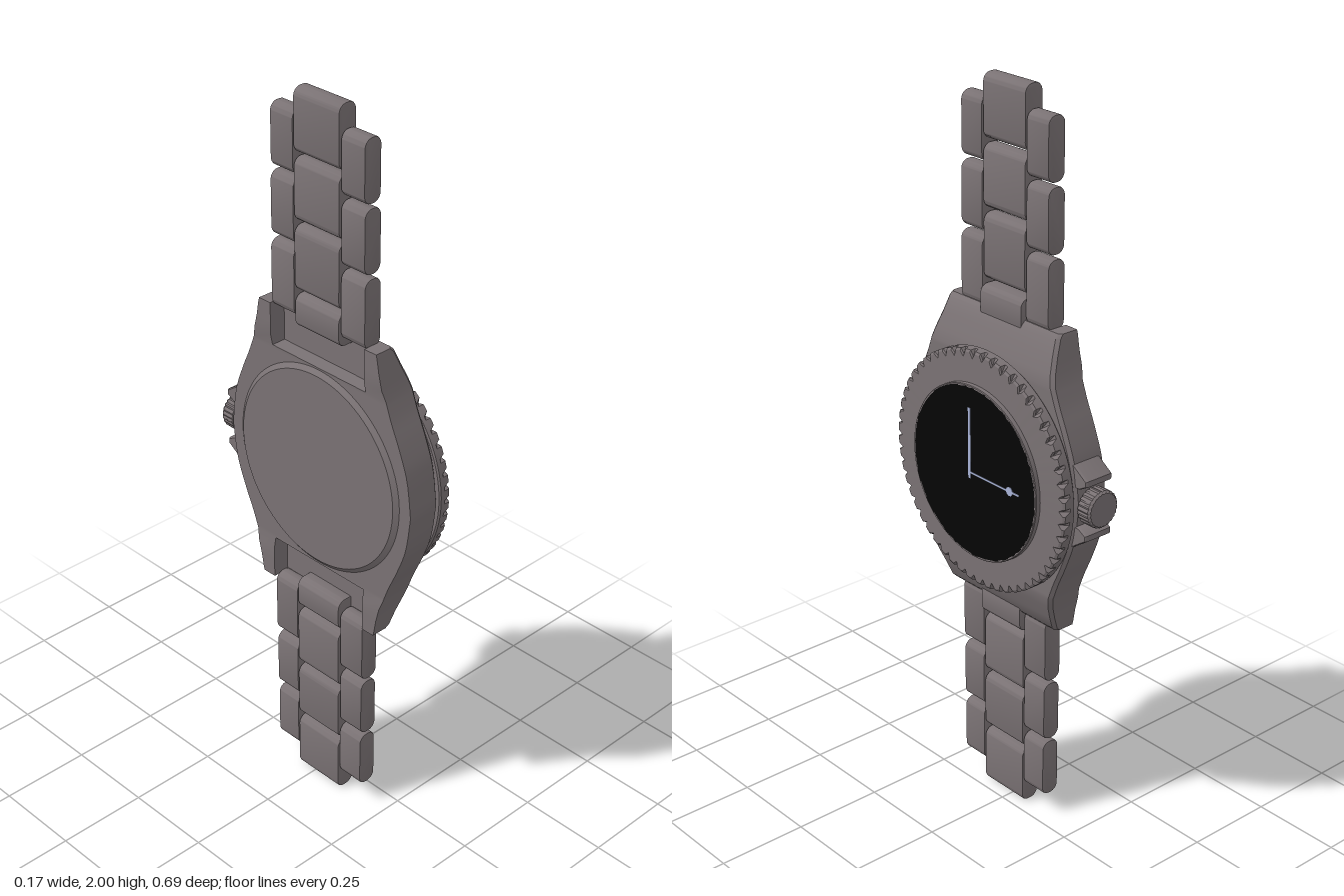
import * as THREE from 'three';
import { toCreasedNormals } from 'three/addons/utils/BufferGeometryUtils.js';

const CY = 1, CZ = 0.024; // centre of the dial
const steel = new THREE.MeshStandardMaterial({ color: 0x7a7274 });
const black = new THREE.MeshStandardMaterial({ color: 0x050505 });
const pale = new THREE.MeshStandardMaterial({ color: 0xa9b4d8 });

function part(name, geometry, material = steel, crease = 0.6) {
  const mesh = new THREE.Mesh(toCreasedNormals(geometry, crease), material);
  mesh.name = name;
  return mesh;
}

// Turned part about the x axis through the dial centre; profile is [radius, x]
function turned(profile, segments, warp) {
  const g = new THREE.LatheGeometry(profile.map(p => new THREE.Vector2(...p)), segments);
  if (warp) {
    const p = g.attributes.position;
    for (let i = 0; i < p.count; i++) {
      const column = Math.floor(i / profile.length), k = warp(column, i % profile.length);
      p.setXYZ(i, p.getX(i) * k, p.getY(i), p.getZ(i) * k);
    }
  }
  return g.rotateZ(-Math.PI / 2).translate(0, CY, CZ);
}

// Case: U-shaped cross-sections stacked along y, hollowed between the lugs
function caseGeometry() {
  const V = (x, y) => new THREE.Vector2(x, y);
  const back = -0.077, inner = 0.165;
  const body = new THREE.SplineCurve([V(0, 0.323), V(0.1, 0.309), V(0.18, 0.28), V(0.24, 0.253), V(0.29, 0.234)]).getPoints(14);
  const lug = [V(0.29, 0.234), V(0.32, 0.225), V(0.36, 0.215), V(0.4, 0.208), V(0.41, 0.205)];
  const half = [...body.map(p => [p.x, p.y, back]), ...lug.map(p => [p.x, p.y, -0.036])];
  const rows = [...half.slice(1).reverse().map(([d, w, r]) => [-d, w, r]), ...half];
  const sections = rows.map(([d, w, roof]) => {
    const a = Math.abs(d);
    const top = a < 0.3 ? 0.022 : 0.022 - (a - 0.3) * 0.4 - (a > 0.4 ? 0.006 : 0);
    const low = a > 0.3 ? back - 0.006 : back, e = 0.009;
    return [[-w, low], [-inner, low], [-inner, Math.max(roof, low)], [inner, Math.max(roof, low)], [inner, low],
      [w, low], [w, top - e], [w - e, top], [e - w, top], [-w, top - e]]
      .map(([z, x]) => [x, CY + d, CZ + z]);
  });
  const pos = [], tri = (...c) => c.forEach(v => pos.push(...v));
  for (let i = 0; i + 1 < sections.length; i++) {
    const s = sections[i], t = sections[i + 1];
    s.forEach((a, j) => {
      const k = (j + 1) % s.length;
      tri(a, s[k], t[k]);
      tri(a, t[k], t[j]);
    });
  }
  // end faces
  const last = sections[sections.length - 1], first = sections[0];
  THREE.ShapeUtils.triangulateShape(last.map(p => V(p[2], p[0])), []).forEach(([a, b, c]) => {
    tri(last[a], last[b], last[c]);
    tri(first[c], first[b], first[a]);
  });
  const g = new THREE.BufferGeometry();
  g.setAttribute('position', new THREE.Float32BufferAttribute(pos, 3));
  return g;
}

// Bracelet link: rounded x-y profile extruded across z
function linkGeometry(y0, y1, z0, z1, x0 = -0.08, x1 = -0.026) {
  const b = 0.004, r = 0.02, s = new THREE.Shape();
  const l = x0 + b, t = x1 - b, d = y0 + b, u = y1 - b;
  s.absarc(t - r, u - r, r, 0, Math.PI / 2);
  s.absarc(l + r, u - r, r, Math.PI / 2, Math.PI);
  s.absarc(l + r, d + r, r, Math.PI, Math.PI * 1.5);
  s.absarc(t - r, d + r, r, Math.PI * 1.5, Math.PI * 2);
  return new THREE.ExtrudeGeometry(s, { depth: z1 - z0 - 2 * b, bevelThickness: b, bevelSize: b, bevelSegments: 2, curveSegments: 8 })
    .translate(0, 0, z0 + b);
}

function bracelet() {
  const group = new THREE.Group();
  group.name = 'bracelet';
  const centre = [[1.375, 1.465], [1.475, 1.65], [1.66, 1.825], [1.835, 2]];
  const outer = [[1.4, 1.585], [1.595, 1.765], [1.775, 1.94]];
  for (const upper of [true, false]) {
    const flip = ([a, b]) => (upper ? [a, b] : [2 - b, 2 - a]);
    centre.forEach((span, i) => group.add(part('centreLink',
      linkGeometry(...flip(span), CZ - 0.077, CZ + 0.077, -0.082, i ? -0.026 : -0.014))));
    outer.forEach((span, i) => {
      const w = 0.163 - i * 0.002;
      group.add(part('outerLink', linkGeometry(...flip(span), CZ + 0.081, CZ + w)));
      group.add(part('outerLink', linkGeometry(...flip(span), CZ - w, CZ - 0.081)));
    });
  }
  return group;
}

// Crown with fluted rim, its stem and the two pointed guards
function crown() {
  const group = new THREE.Group();
  group.name = 'crown';
  const profile = [[0, 0], [0.044, 0], [0.05, 0.005], [0.05, 0.04], [0.045, 0.046], [0, 0.046]];
  const g = new THREE.LatheGeometry(profile.map(p => new THREE.Vector2(...p)), 72);
  const p = g.attributes.position;
  for (let i = 0; i < p.count; i++) {
    const k = Math.floor(i / profile.length) % 3 === 0 ? 0.95 : 1;
    p.setXYZ(i, p.getX(i) * k, p.getY(i), p.getZ(i) * k);
  }
  group.add(part('crownKnob', g.rotateX(-Math.PI / 2).translate(-0.027, CY, -0.3)));
  group.add(part('crownStem', new THREE.CylinderGeometry(0.035, 0.035, 0.06, 24)
    .rotateX(Math.PI / 2).translate(-0.027, CY, -0.28)));
  for (const side of [1, -1]) {
    const s = new THREE.Shape([[0.26, 0.125], [0.288, 0.105], [0.325, 0.08], [0.325, 0.068], [0.302, 0.055], [0.26, 0.055]]
      .map(([z, y]) => new THREE.Vector2(z, CY + side * y)));
    const guard = new THREE.ExtrudeGeometry(s, { depth: 0.07, bevelThickness: 0.008, bevelSize: 0.003, bevelSegments: 2 });
    group.add(part('crownGuard', guard.rotateY(Math.PI / 2).translate(-0.062, 0, 0)));
  }
  return group;
}

export function createModel() {
  const model = new THREE.Group();
  model.name = 'wristwatch';
  model.add(part('case', caseGeometry()));
  model.add(part('caseBack', turned([[0, -0.087], [0.272, -0.087], [0.285, -0.077], [0.285, -0.06]], 96)));

  // Bezel with triangular notches around its front edge
  const rim = [[0.29, 0.015], [0.3, 0.025], [0.32, 0.026], [0.324, 0.03], [0.324, 0.042], [0.324, 0.058], [0.318, 0.062], [0.236, 0.063]];
  const notch = (column, row) => (column % 4 === 0 && (row === 5 || row === 6) ? 0.955 : 1);
  model.add(part('bezel', turned(rim, 54 * 4, notch), steel, 0.4));

  // Crystal rim, dark dial and hands
  model.add(part('crystalRim', turned([[0.238, 0.055], [0.238, 0.075], [0.236, 0.077], [0.232, 0.077]], 96)));
  model.add(part('dial', turned([[0.234, 0.07], [0.234, 0.077], [0, 0.077]], 96), black));
  const hand = (name, h, d, y, z) =>
    model.add(part(name, new THREE.BoxGeometry(0.001, h, d).translate(0.0777, y, z), pale));
  hand('longHand', 0.195, 0.009, 1.08, 0.037);
  hand('thinHand', 0.005, 0.19, 1, -0.055);
  model.add(part('handDot', new THREE.CylinderGeometry(0.012, 0.012, 0.0015, 24)
    .rotateZ(Math.PI / 2).translate(0.0778, 1, -0.116), pale));

  model.add(crown(), bracelet());
  return model;
}
